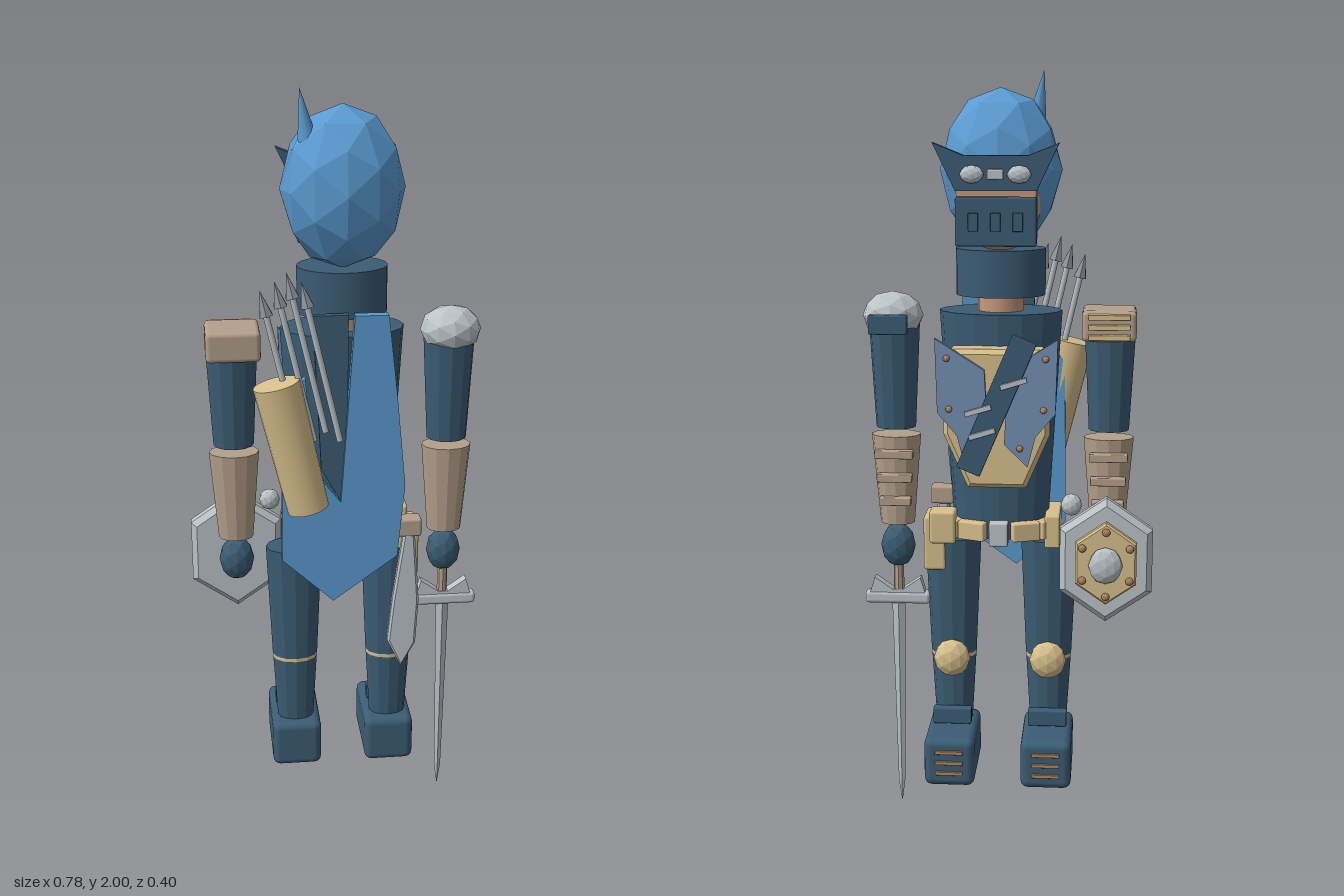
import * as THREE from 'three';
import { RoundedBoxGeometry } from 'three/addons/geometries/RoundedBoxGeometry.js';

const paint = (name, color) => {
  const m = new THREE.MeshStandardMaterial({ color });
  m.name = name;
  return m;
};

export function createModel() {
  const root = new THREE.Group();
  root.name = 'armouredFighter';
  const steel = paint('dark steel', 0x3b5d74);
  const blue = paint('sky blue', 0x5a9bd1);
  const tan = paint('tan', 0xd8c08c);
  const brown = paint('leather brown', 0xb5a18b);
  const silver = paint('silver', 0xbcc4c8);
  const iron = paint('iron', 0x8f979e);
  const skin = paint('skin', 0xc9997c);
  const slate = paint('slate blue', 0x7590b5);
  const copper = paint('copper', 0xb08860);

  const add = (name, geo, mat, x, y, z, rz = 0) => {
    const m = new THREE.Mesh(geo, mat);
    m.name = name;
    m.position.set(x, y, z);
    m.rotation.z = rz;
    root.add(m);
    return m;
  };
  const facet = (geo) => {
    const g = geo.index ? geo.toNonIndexed() : geo;
    g.computeVertexNormals();
    return g;
  };
  // Rounded block of size w, h, d
  const block = (name, mat, x, y, z, w, h, d, rz = 0, r = 0.15) =>
    add(name, new RoundedBoxGeometry(w, h, d, 2, Math.min(w, h, d) * r), mat, x, y, z, rz);
  // Faceted ellipsoid
  const ball = (name, mat, x, y, z, rx, ry, rz) =>
    add(name, facet(new THREE.IcosahedronGeometry(1, 1).scale(rx, ry, rz)), mat, x, y, z);
  // Tapered tube between two heights, flattened in z
  const taper = (name, mat, x, z, y0, y1, r0, r1, flat = 1, sides = 12) =>
    add(name, facet(new THREE.CylinderGeometry(r1, r0, y1 - y0, sides).scale(1, 1, flat)), mat, x, (y0 + y1) / 2, z);
  // Flat plate cut from an outline, reaching from z0 to z1
  const plate = (name, mat, pts, z0, z1, bevel = 0) => {
    const geo = new THREE.ExtrudeGeometry(new THREE.Shape(pts.map((p) => new THREE.Vector2(p[0], p[1]))), {
      depth: z1 - z0 - 2 * bevel, bevelEnabled: bevel > 0, bevelSize: bevel, bevelOffset: -bevel,
      bevelThickness: bevel, bevelSegments: 1,
    });
    return add(name, geo, mat, 0, 0, z0 + bevel);
  };
  const C = 0.015; // body centre line

  // Head, hood and single horn
  ball('hood', blue, C, 1.757, 0.012, 0.157, 0.204, 0.133);
  ball('face', skin, C, 1.69, -0.035, 0.115, 0.14, 0.092);
  add('horn', new THREE.ConeGeometry(0.033, 0.17, 12), blue, -0.08, 1.92, 0.042, 0.15);
  add('collar', new THREE.CylinderGeometry(0.116, 0.116, 0.12, 24).scale(1, 1, 0.78), steel, C, 1.5, 0);
  add('neck', new THREE.CylinderGeometry(0.06, 0.06, 0.1, 16), skin, C, 1.41, 0);

  // Visor: backing, flared brow, eyes and slotted mouth guard
  block('visorBacking', skin, C, 1.685, -0.138, 0.2, 0.19, 0.04);
  plate('brow', steel, [[C - 0.155, 1.83], [C - 0.1, 1.715], [C + 0.1, 1.715], [C + 0.155, 1.83], [C + 0.08, 1.8], [C - 0.08, 1.8]], -0.178, -0.15);
  block('mouthGuard', steel, C, 1.64, -0.165, 0.2, 0.12, 0.036);
  for (const s of [-1, 1]) ball('eye', silver, C + s * 0.058, 1.755, -0.184, 0.03, 0.022, 0.015);
  block('noseStud', silver, C, 1.755, -0.184, 0.04, 0.025, 0.025);
  for (const i of [-1, 0, 1]) block('mouthSlot', steel, C + i * 0.055, 1.64, -0.184, 0.025, 0.045, 0.012);

  // Torso, breastplate and crest
  taper('torso', steel, C, 0, 0.8, 1.4, 0.125, 0.16, 0.66, 16);
  plate('breastplate', tan, [[-0.1, 1.32], [-0.12, 1.28], [-0.12, 1.1], [-0.06, 0.96], [0.09, 0.96], [0.152, 1.1], [0.152, 1.28], [0.13, 1.32]], -0.16, -0.085, 0.012);
  for (const s of [-1, 1]) {
    const wing = [[0.155, 1.35], [0.03, 1.27], [0.02, 1.08], [0.08, 1.02], [0.1, 1.1], [0.15, 1.16]];
    const pts = wing.map(([x, y]) => [C + s * x, y]);
    plate('crestWing', slate, s > 0 ? pts : pts.reverse(), -0.174, -0.16);
    for (const [x, y] of [[0.125, 1.3], [0.12, 1.17], [0.06, 1.07]])
      ball('crestRivet', copper, C + s * x, y, -0.176, 0.009, 0.009, 0.007);
  }
  block('crestBar', steel, C, 1.18, -0.178, 0.065, 0.37, 0.02, 0.4);
  for (const [x, y] of [[0.06, 1.17], [0.05, 1.11], [-0.03, 1.24]])
    block('crestClaw', silver, x, y, -0.19, 0.07, 0.014, 0.01, -0.3);

  // Belt
  block('buckle', silver, C, 0.82, -0.095, 0.05, 0.065, 0.035);
  for (const [x, z, a] of [[0.085, -0.085, 0.35], [-0.055, -0.085, -0.35], [-0.11, -0.045, -1.0], [0.14, -0.045, 1.0]])
    block('beltPlate', tan, x, 0.825, z, 0.075, 0.05, 0.03).rotation.y = -a;
  block('hipPouch', tan, 0.19, 0.775, -0.003, 0.06, 0.15, 0.1);
  block('beltPouch', tan, 0.165, 0.83, -0.06, 0.07, 0.09, 0.06);
  block('sidePouch', tan, -0.125, 0.82, 0, 0.04, 0.09, 0.15);

  // Legs and boots
  for (const x of [-0.115, 0.145]) {
    taper('thigh', steel, x, 0, 0.457, 0.785, 0.062, 0.076, 0.72);
    taper('kneeBand', tan, x, 0, 0.447, 0.457, 0.062, 0.062, 0.72);
    taper('shin', steel, x, 0, 0.255, 0.447, 0.05, 0.061, 0.72);
    ball('kneePad', tan, x, 0.455, -0.06, 0.05, 0.053, 0.034);
    block('boot', steel, x, 0.192, -0.052, 0.136, 0.135, 0.232);
    block('ankleGuard', steel, x, 0.288, -0.058, 0.105, 0.045, 0.027);
    for (const i of [-1, 0, 1]) block('toeBar', copper, x, 0.195 + i * 0.03, -0.169, 0.075, 0.01, 0.01);
  }

  // Arms
  for (const x of [-0.27, 0.295]) {
    taper('upperArm', steel, x, 0, 1.085, 1.36, 0.053, 0.067, 0.85);
    taper('forearm', brown, x, 0, 0.82, 1.065, 0.046, 0.066, 0.75);
    ball('hand', steel, x, 0.755, 0, 0.047, 0.062, 0.04);
    for (const i of [0, 1, 2]) block('bracerBar', brown, x, 0.89 + i * 0.065, -0.045 - i * 0.004, 0.085 + i * 0.008, 0.022, 0.025);
  }
  block('shoulderBlock', brown, -0.267, 1.367, -0.002, 0.14, 0.08, 0.135);
  for (const i of [-1, 0, 1]) block('shoulderBar', tan, -0.267, 1.367 + i * 0.026, -0.077, 0.108, 0.014, 0.022);
  ball('shoulderBall', silver, 0.298, 1.383, 0, 0.08, 0.063, 0.071);
  block('shoulderGuard', steel, 0.3, 1.37, -0.086, 0.1, 0.05, 0.026);

  // Shield on the sword-free hand
  const hex = (rx, ry) => [90, 150, 210, 270, 330, 390].map((a) => {
    const t = (a * Math.PI) / 180;
    return [-0.268 + (rx * Math.cos(t)) / 0.866, 0.75 + ry * Math.sin(t)];
  });
  plate('shieldBody', silver, hex(0.122, 0.17), -0.102, -0.05, 0.015);
  plate('shieldFace', tan, hex(0.08, 0.112), -0.124, -0.1, 0.005);
  ball('shieldBoss', silver, -0.267, 0.75, -0.135, 0.045, 0.05, 0.022);
  for (const [x, y] of hex(0.062, 0.088)) ball('shieldRivet', copper, x, y, -0.128, 0.011, 0.011, 0.008);
  ball('shieldLoop', silver, -0.175, 0.895, -0.067, 0.028, 0.03, 0.022);

  // Sword held point down
  taper('swordGrip', brown, 0.295, 0, 0.62, 0.76, 0.014, 0.014, 1, 8);
  block('swordGuard', silver, 0.298, 0.607, 0, 0.178, 0.034, 0.036, 0, 0.3);
  plate('swordWings', silver, [[0.22, 0.615], [0.375, 0.615], [0.36, 0.665], [0.31, 0.63], [0.285, 0.63], [0.235, 0.665]], -0.014, 0.014);
  taper('swordBlade', silver, 0.297, 0, 0.06, 0.6, 0.009, 0.018, 0.5, 4);
  taper('swordTip', silver, 0.297, 0, 0.0, 0.06, 0.001, 0.009, 0.5, 4);

  // Torn cape with its dark lining panel
  plate('cape', blue, [[0.035, 1.46], [0, 0.96], [-0.07, 1.05], [-0.09, 1.3], [-0.15, 1.25], [-0.155, 0.8], [-0.02, 0.675], [0.15, 0.8], [0.168, 1.0], [0.145, 1.24], [0.12, 1.46]], 0.098, 0.125);
  plate('capeLining', steel, [[-0.07, 1.46], [-0.05, 1.05], [0.0, 0.96], [0.018, 1.2], [0.02, 1.46]], 0.096, 0.115);

  // Quiver and arrows
  const lean = 0.225;
  add('quiver', new THREE.CylinderGeometry(0.06, 0.054, 0.35, 20).scale(1, 1, 0.85), tan, -0.126, 1.127, 0.147, lean);
  for (const [x, y, z] of [[-0.2, 1.53, 0.13], [-0.165, 1.555, 0.14], [-0.135, 1.575, 0.135], [-0.1, 1.555, 0.15]]) {
    const along = (d) => [x + Math.sin(lean) * d, y - Math.cos(lean) * d];
    const [hx, hy] = along(0.03), [sx, sy] = along(0.24);
    add('arrowHead', facet(new THREE.ConeGeometry(0.019, 0.065, 6)), iron, hx, hy, z, lean);
    add('arrowShaft', new THREE.CylinderGeometry(0.008, 0.008, 0.37, 8), silver, sx, sy, z, lean);
  }

  // Dagger hanging at the back of the belt
  block('daggerHilt', brown, 0.183, 0.875, 0.098, 0.064, 0.05, 0.045);
  plate('daggerBlade', silver, [[0.168, 0.86], [0.14, 0.66], [0.128, 0.54], [0.166, 0.46], [0.205, 0.53], [0.212, 0.66], [0.198, 0.86]], 0.09, 0.118, 0.006);

  return root;
}
